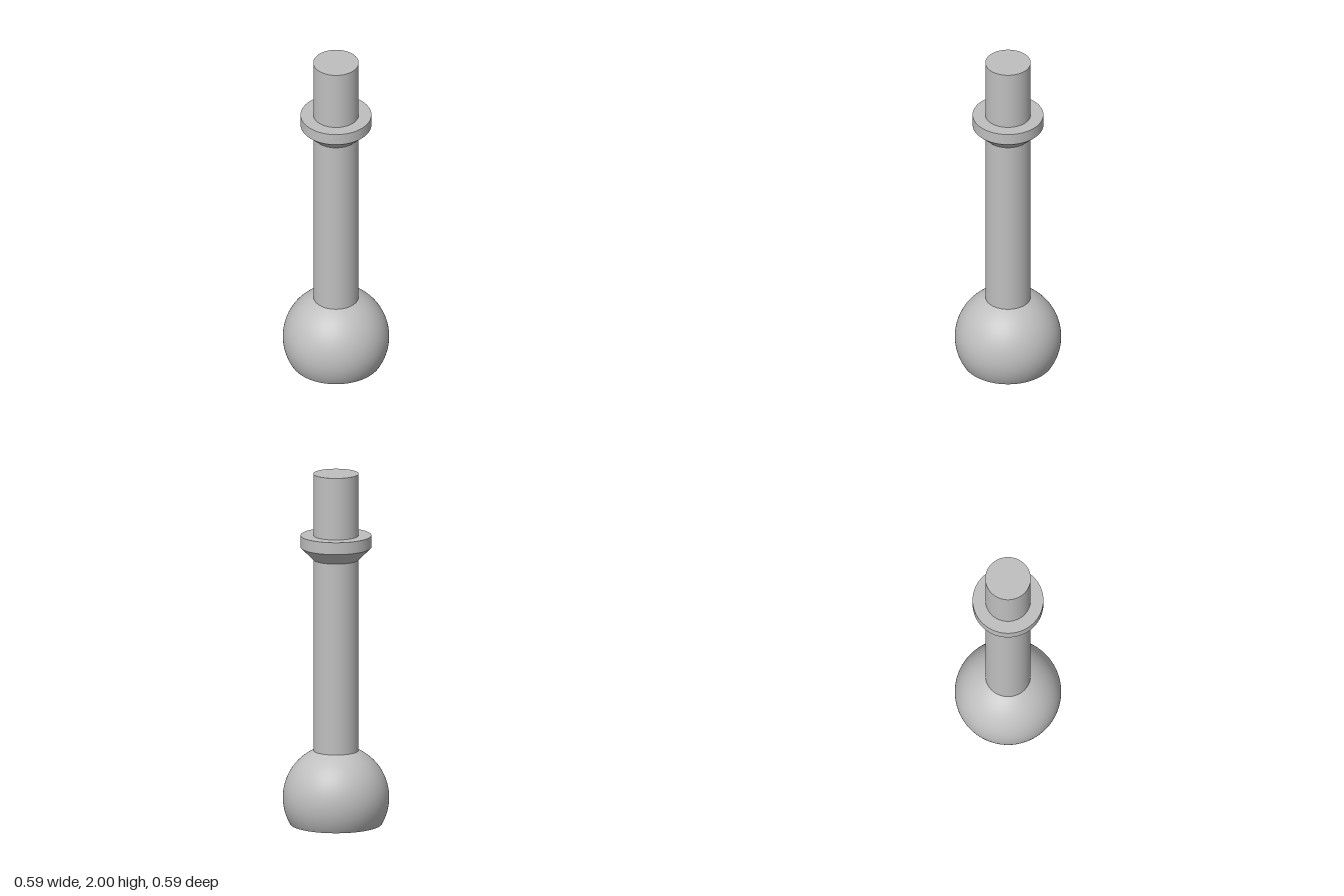
import * as THREE from 'three';

export function createModel() {
  const model = new THREE.Group();
  const metal = new THREE.MeshStandardMaterial({ color: 0xbfbfbf });
  metal.name = 'plain grey metal';

  const SEG = 96;
  const ballR = 0.297, ballY = 0.15;
  const rodR = 0.127, collarR = 0.198;

  const add = (name, geometry, y) => {
    const mesh = new THREE.Mesh(geometry, metal);
    mesh.name = name;
    mesh.position.y = y;
    model.add(mesh);
    return mesh;
  };
  // Cylinder or cone spanning y0 to y1
  const turned = (name, r0, r1, y0, y1, open = false) =>
    add(name, new THREE.CylinderGeometry(r1, r0, y1 - y0, SEG, 1, open), (y0 + y1) / 2);

  // Ball, cut flat at the ground and open where the rod enters
  const thetaTop = Math.asin(rodR / ballR);
  const thetaEnd = Math.acos(-ballY / ballR);
  add('ball', new THREE.SphereGeometry(ballR, SEG, 48, 0, Math.PI * 2, thetaTop, thetaEnd - thetaTop), ballY);
  const base = new THREE.CircleGeometry(ballR * Math.sin(thetaEnd), SEG);
  add('ballBase', base.rotateX(Math.PI / 2), 0);

  // Rod rising from the ball
  const neckY = ballY + ballR * Math.cos(thetaTop);
  turned('rod', rodR, rodR, neckY, 2);

  // Collar: tapered underside with a straight rim and flat top
  turned('collarTaper', rodR, collarR, 1.51, 1.58, true);
  turned('collarRim', collarR, collarR, 1.58, 1.648);

  return model;
}
